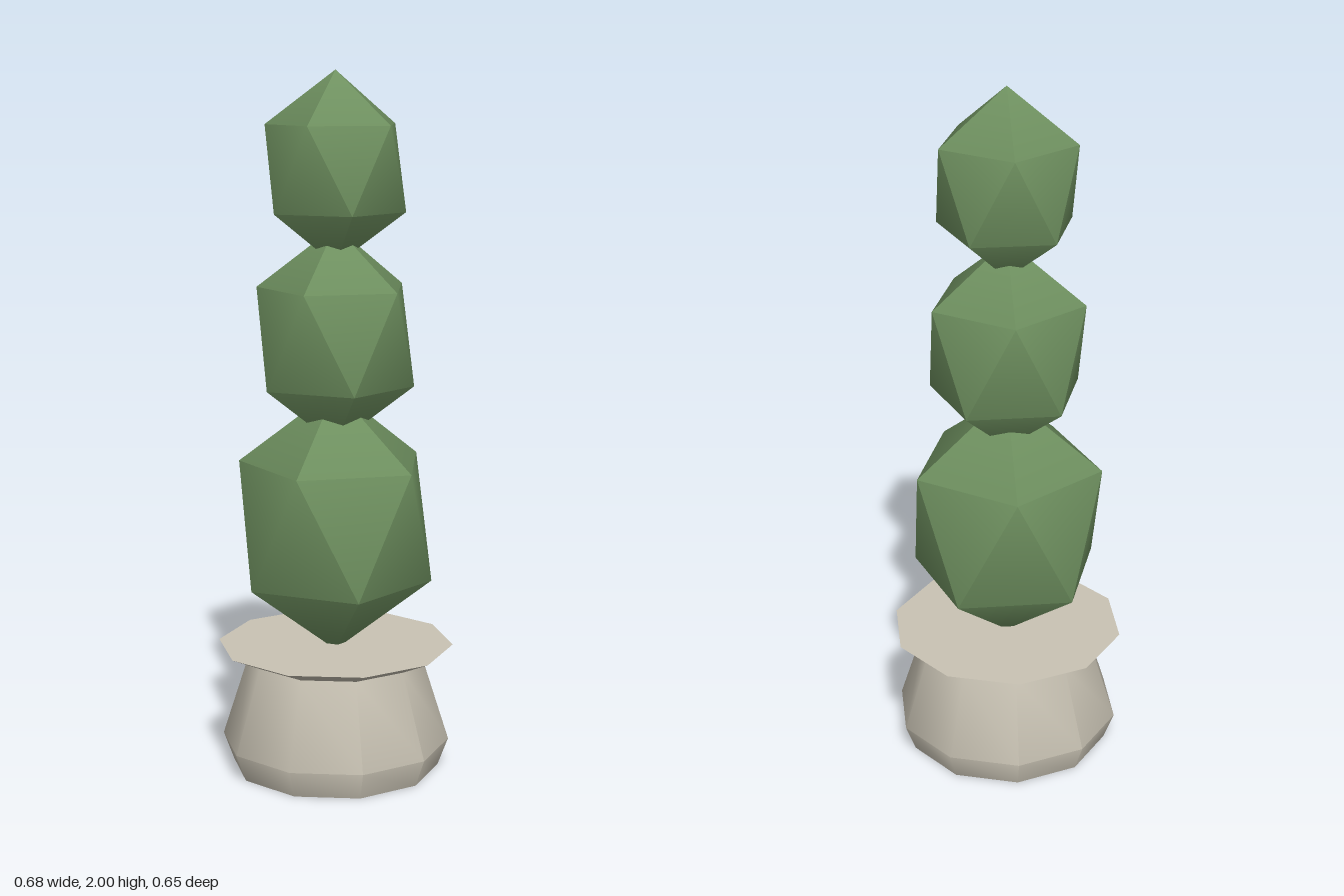
import * as THREE from 'three';
import { toCreasedNormals } from 'three/addons/utils/BufferGeometryUtils.js';
import { ConvexGeometry } from 'three/addons/geometries/ConvexGeometry.js';

const CREASE = 0.75;

// Stretched 12-point segment: two poles and two staggered five-point rings
function segmentGeometry(ringRadius, ringHeight) {
  const pole = ringHeight * Math.sqrt(5);
  const points = [new THREE.Vector3(0, pole, 0), new THREE.Vector3(0, -pole, 0)];
  for (let i = 0; i < 5; i++) {
    const a = (i * Math.PI * 2) / 5;
    const x = ringRadius * Math.cos(a);
    const z = ringRadius * Math.sin(a);
    points.push(new THREE.Vector3(x, ringHeight, z), new THREE.Vector3(-x, -ringHeight, z));
  }
  return toCreasedNormals(new ConvexGeometry(points), CREASE);
}

export function createModel() {
  const model = new THREE.Group();
  model.name = 'pottedCactus';

  const clay = new THREE.MeshStandardMaterial({ color: 0xc9c3b4 });
  clay.name = 'paleClay';
  const green = new THREE.MeshStandardMaterial({ color: 0x6f9160 });
  green.name = 'cactusGreen';

  // Ten-sided pot with a flared rim and a closed top
  const profile = [
    [0, 0], [0.3, 0], [0.33, 0.08], [0.252, 0.325], [0.34, 0.365], [0, 0.365],
  ].map(([r, y]) => new THREE.Vector2(r, y));
  const potGeometry = new THREE.LatheGeometry(profile, 10, Math.PI / 2);
  const pot = new THREE.Mesh(toCreasedNormals(potGeometry, CREASE), clay);
  pot.name = 'pot';
  model.add(pot);

  // Three stacked cactus segments: name, centre height, ring radius, ring height
  const segments = [
    ['lowerSegment', 0.727, 0.277, 0.172],
    ['middleSegment', 1.26, 0.223, 0.139],
    ['upperSegment', 1.731, 0.197, 0.1203],
  ];
  for (const [name, y, radius, height] of segments) {
    const segment = new THREE.Mesh(segmentGeometry(radius, height), green);
    segment.name = name;
    segment.position.y = y;
    model.add(segment);
  }

  return model;
}
